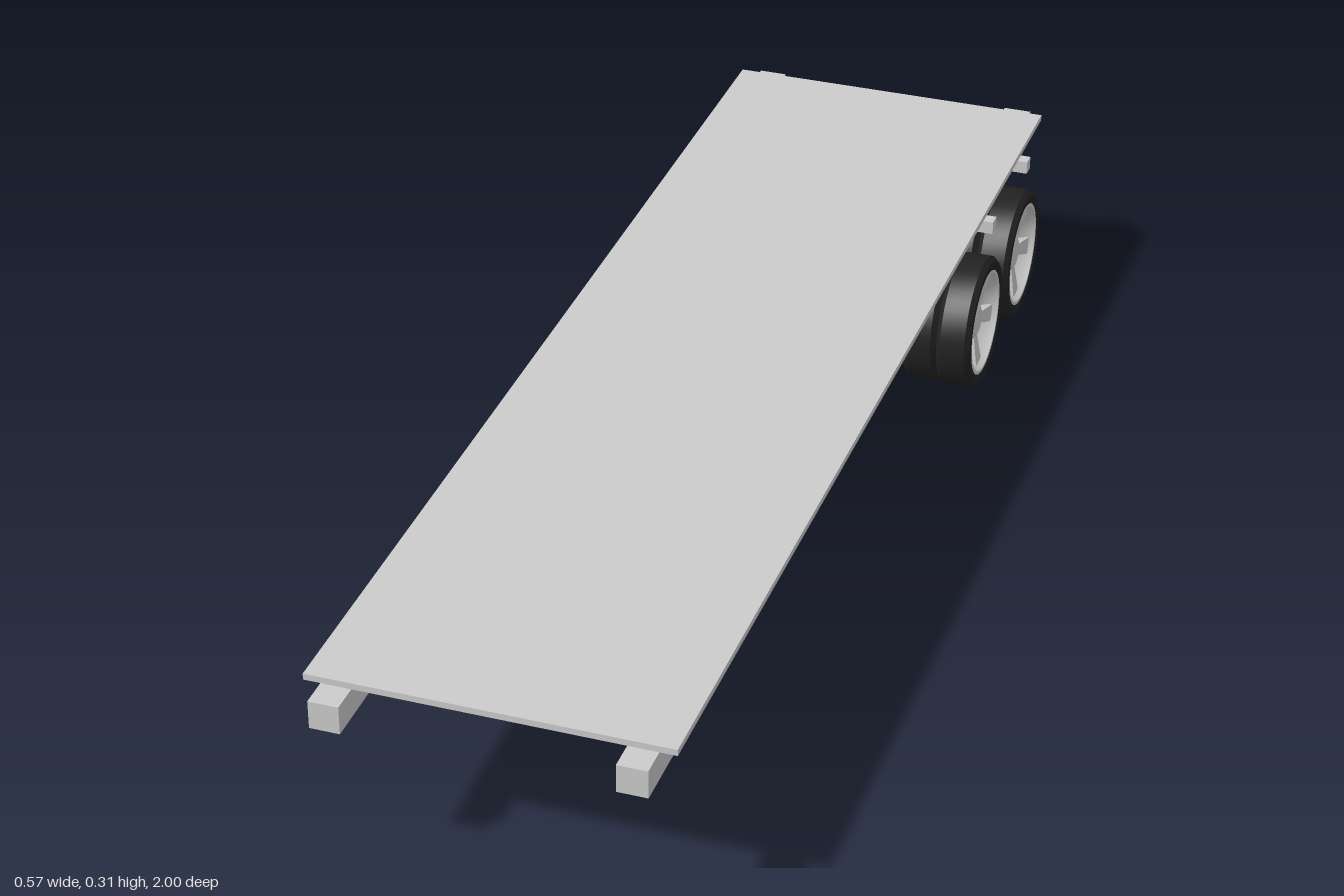
import * as THREE from 'three';
import { toCreasedNormals } from 'three/addons/utils/BufferGeometryUtils.js';

const grey = new THREE.MeshStandardMaterial({ color: 0xcccccc });
const rubber = new THREE.MeshStandardMaterial({ color: 0x222222 });

function add(parent, name, geometry, material = grey) {
  const mesh = new THREE.Mesh(geometry, material);
  mesh.name = name;
  parent.add(mesh);
  return mesh;
}

// Box given by its minimum and maximum on each axis
function box(parent, name, x0, x1, y0, y1, z0, z1) {
  const mesh = add(parent, name, new THREE.BoxGeometry(x1 - x0, y1 - y0, z1 - z0));
  mesh.position.set((x0 + x1) / 2, (y0 + y1) / 2, (z0 + z1) / 2);
  return mesh;
}

// Profile of [radius, x] pairs turned about the x axis
function turned(profile) {
  const points = profile.map(([r, x]) => new THREE.Vector2(r, x));
  const geometry = new THREE.LatheGeometry(points, 40).rotateZ(-Math.PI / 2);
  return toCreasedNormals(geometry, 0.45);
}

// Twin tyres on one dished, spoked rim; the outside faces +x
function createWheel() {
  const wheel = new THREE.Group();
  const tyre = turned([
    [0.088, -0.027], [0.093, -0.029], [0.105, -0.029], [0.1125, -0.021],
    [0.1125, 0.021], [0.105, 0.029], [0.093, 0.029], [0.088, 0.027],
  ]);
  for (const side of [-1, 1]) add(wheel, 'tyre', tyre, rubber).position.x = side * 0.0293;

  add(wheel, 'rim', turned([
    [0, -0.03], [0.07, -0.03], [0.08, -0.055], [0.09, -0.057],
    [0.09, 0.057], [0.084, 0.057], [0.078, 0.043], [0.06, 0.026],
    [0.034, 0.03], [0.03, 0.041], [0.022, 0.045], [0, 0.045],
  ]));

  // Spokes widen toward the rim
  for (let i = 0; i < 5; i++) {
    const geometry = new THREE.BoxGeometry(0.018, 0.056, 0.018);
    const p = geometry.attributes.position;
    for (let v = 0; v < p.count; v++) {
      if (p.getY(v) > 0) {
        p.setZ(v, p.getZ(v) * 1.7);
        p.setX(v, p.getX(v) + 0.008);
      }
    }
    geometry.computeVertexNormals();
    geometry.translate(0.031, 0.053, 0).rotateX(Math.PI + (i * Math.PI * 2) / 5);
    add(wheel, 'spoke', geometry);
  }
  return wheel;
}

// Bevelled end panel, from a large rectangle at z = 0 to a smaller one at z = depth
function endPanel(depth) {
  const geometry = new THREE.BoxGeometry(0.224, 0.123, depth).translate(0, 0.1765, depth / 2);
  const p = geometry.attributes.position;
  for (let i = 0; i < p.count; i++) {
    if (p.getZ(i) > depth / 2) {
      p.setX(i, Math.sign(p.getX(i)) * 0.101);
      p.setY(i, p.getY(i) > 0.1765 ? 0.226 : 0.125);
    }
  }
  const flat = geometry.toNonIndexed();
  flat.computeVertexNormals();
  return flat;
}

export function createModel() {
  const model = new THREE.Group();
  model.name = 'flatbedTrailer';

  // Deck and its two long rails
  box(model, 'deck', -0.273, 0.273, 0.305, 0.315, -0.975, 0.955);
  for (const s of [-1, 1]) {
    box(model, 'rail', s * 0.224 - 0.023, s * 0.224 + 0.023, 0.26, 0.305, -1, 1);
  }

  // Cross beams between rails and bogie
  for (const z of [-0.685, -0.91]) {
    box(model, 'crossBeam', -0.27, 0.27, 0.238, 0.26, z - 0.011, z + 0.011);
  }

  // Bogie housing with a tapering underside
  const bogie = new THREE.Group();
  bogie.name = 'bogie';
  bogie.position.z = -0.753;
  model.add(bogie);
  const profile = new THREE.Shape([
    [-0.21, 0.238], [-0.21, 0.115], [-0.17, 0.07],
    [0.17, 0.07], [0.21, 0.115], [0.21, 0.238],
  ].map(([z, y]) => new THREE.Vector2(z, y)));
  const housing = new THREE.ExtrudeGeometry(profile, { depth: 0.224, bevelEnabled: false });
  add(bogie, 'housing', housing.translate(0, 0, -0.112).rotateY(Math.PI / 2));
  for (const turn of [0, Math.PI]) {
    const pivot = new THREE.Group();
    pivot.name = 'housingEnd';
    pivot.rotation.y = turn;
    bogie.add(pivot);
    add(pivot, 'endPanel', endPanel(0.021)).position.z = 0.21;
  }

  // Two axles with twin wheels at each end
  for (const z of [-0.595, -0.84]) {
    const axleGeometry = new THREE.CylinderGeometry(0.036, 0.036, 0.42, 32).rotateZ(Math.PI / 2);
    add(model, 'axle', axleGeometry).position.set(0, 0.1125, z);
    for (const s of [-1, 1]) {
      const wheel = createWheel();
      wheel.name = s > 0 ? 'leftWheel' : 'rightWheel';
      wheel.position.set(s * 0.227, 0.1125, z);
      if (s < 0) wheel.rotation.y = Math.PI;
      model.add(wheel);
    }
  }
  return model;
}
